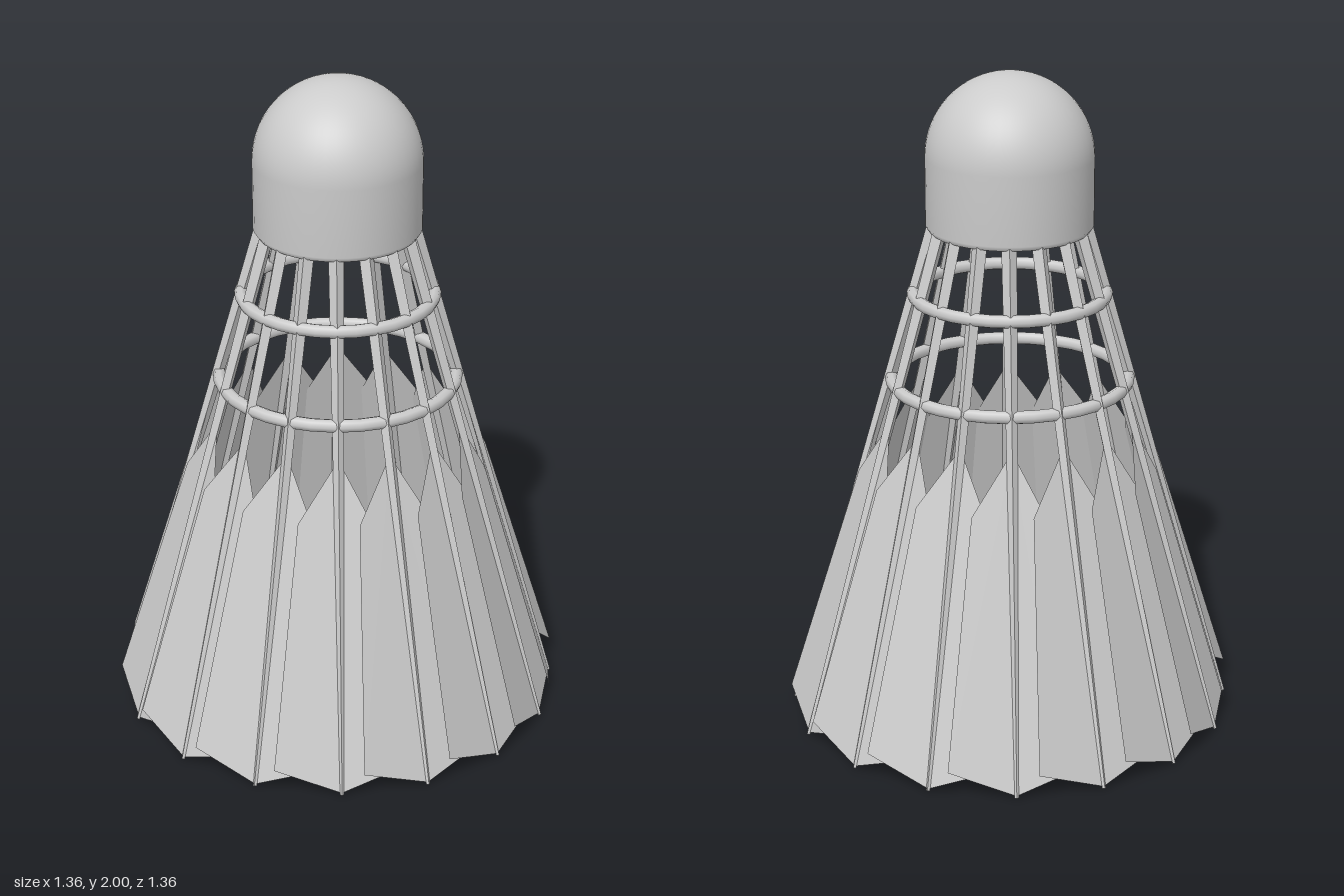
import * as THREE from 'three';

const COUNT = 16;        // feathers around the skirt
const ROOT_Y = 1.53;     // where the quills leave the cork
const ROOT_R = 0.225;
const TIP_R = 0.675;     // radius of the skirt at the ground
const TILT = Math.atan2(TIP_R - ROOT_R, ROOT_Y);
const TWIST = 0.055;     // turns each feather so that it overlaps its neighbour

export function createModel() {
  const model = new THREE.Group();
  model.name = 'shuttlecock';
  const smooth = new THREE.MeshStandardMaterial({ color: 0xcccccc });
  const flat = new THREE.MeshStandardMaterial({ color: 0xcccccc, flatShading: true });
  const thin = new THREE.MeshStandardMaterial({ color: 0xcccccc, side: THREE.DoubleSide });

  const add = (name, geometry, material, parent = model) => {
    const mesh = new THREE.Mesh(geometry, material);
    mesh.name = name;
    parent.add(mesh);
    return mesh;
  };

  // Cork: flat base, small bevel, straight wall and half-sphere dome
  const profile = [new THREE.Vector2(0.24, 1.53), new THREE.Vector2(0.25, 1.545)];
  for (let i = 0; i <= 20; i++) {
    const a = (i / 20) * Math.PI / 2;
    profile.push(new THREE.Vector2(0.25 * Math.cos(a), 1.75 + 0.25 * Math.sin(a)));
  }
  add('cork', new THREE.LatheGeometry(profile, 48), smooth);
  const base = add('corkBase', new THREE.CircleGeometry(0.24, 48), smooth);
  base.rotation.x = Math.PI / 2;
  base.position.y = 1.53;

  // Two binding rings around the quills
  for (const [name, radius, y] of [['upperRing', 0.288, 1.333], ['lowerRing', 0.357, 1.065]]) {
    const ring = add(name, new THREE.TorusGeometry(radius, 0.02, 8, 32), smooth);
    ring.rotation.x = Math.PI / 2;
    ring.position.y = y;
  }

  // Vane outline: pointed top, wide outer side, narrower tucked side, V-shaped foot
  const outline = [[0, 0.97], [-0.12, 0.79], [-0.2, 0.075], [0, 0.005], [0.137, 0.06], [0.095, 0.79]];
  const vaneGeometry = new THREE.ShapeGeometry(new THREE.Shape(
    outline.map(([x, y]) => new THREE.Vector2(x, (y - ROOT_Y) / Math.cos(TILT)))
  ));

  // Tapered four-sided quill hanging from its root, with a short end inside the cork
  const length = ROOT_Y / Math.cos(TILT);
  const quillGeometry = new THREE.CylinderGeometry(0.023, 0.006, length + 0.04, 4);
  quillGeometry.translate(0, 0.02 - length / 2, 0);

  for (let i = 0; i < COUNT; i++) {
    const angle = (i / COUNT) * Math.PI * 2;
    const feather = new THREE.Group();
    feather.name = 'feather' + (i + 1);
    feather.position.set(ROOT_R * Math.sin(angle), ROOT_Y, ROOT_R * Math.cos(angle));
    feather.rotation.set(-TILT, angle + TWIST, 0, 'YXZ');
    add('vane', vaneGeometry, thin, feather);
    add('quill', quillGeometry, flat, feather);
    model.add(feather);
  }
  return model;
}
